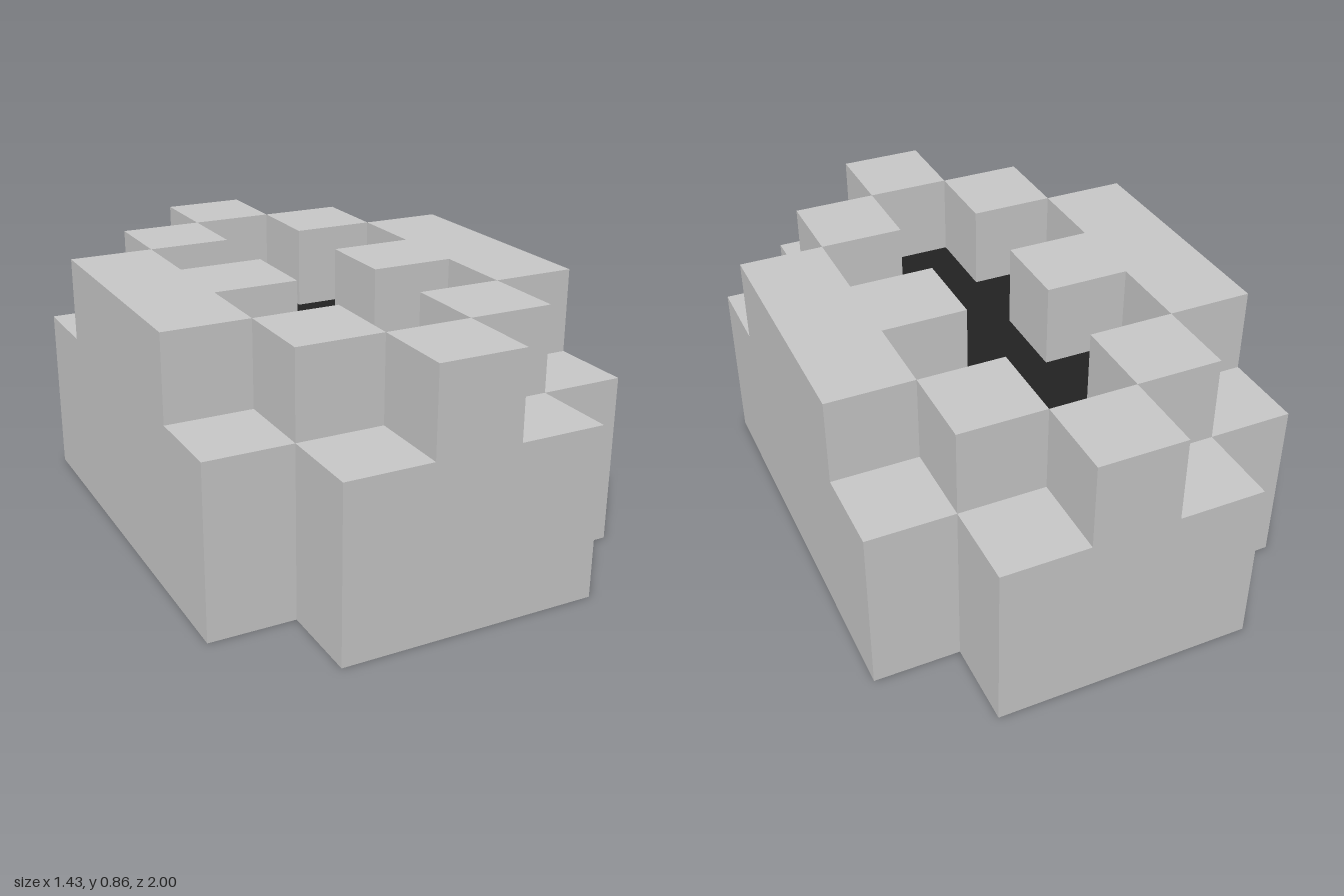
import * as THREE from 'three';

const U = 2 / 7; // edge of one block

// Upright prism from a plan outline given in block units [x, z]
function prism(name, outline, y0, height, material) {
  const shape = new THREE.Shape(outline.map(([x, z]) => new THREE.Vector2(x * U, -z * U)));
  const geometry = new THREE.ExtrudeGeometry(shape, { depth: height, bevelEnabled: false });
  geometry.rotateX(-Math.PI / 2);
  geometry.translate(0, y0, 0);
  const mesh = new THREE.Mesh(geometry, material);
  mesh.name = name;
  return mesh;
}

// Completes a quarter outline (running from the +z side to the +x side) into all four quadrants
function mirrorQuarter(quarter) {
  const half = [...quarter, ...quarter.map(([x, z]) => [x, -z]).reverse()];
  return [...half, ...half.map(([x, z]) => [-x, z]).reverse()];
}

export function createModel() {
  const group = new THREE.Group();
  group.name = 'blockBasin';
  const stone = new THREE.MeshStandardMaterial({ color: 0xc8c8c8 });
  stone.name = 'light grey';
  const dark = new THREE.MeshStandardMaterial({ color: 0x222222 });
  dark.name = 'near black';

  // Solid body, two blocks high, with notched corners
  group.add(prism('body', mirrorQuarter([[1.5, 3.5], [1.5, 2.5], [2.5, 2.5]]), 0, 2 * U, stone));

  // Dark basin floor in the shape of a double cross
  const floor = mirrorQuarter([[0.5, 2.5], [0.5, 1.5], [1.5, 1.5], [1.5, 0.5], [0.5, 0.5]]);
  group.add(prism('basinFloor', floor, 2 * U, 0.003, dark));

  // Rim walls on both sides, each with a block reaching inwards
  for (const s of [1, -1]) {
    const wall = [[2.5, 1.5], [1.5, 1.5], [1.5, 0.5], [0.5, 0.5], [0.5, -0.5], [1.5, -0.5], [1.5, -1.5], [2.5, -1.5]];
    group.add(prism(s > 0 ? 'leftRim' : 'rightRim', wall.map(([x, z]) => [s * x, z]), 2 * U, U, stone));
  }

  // Single rim blocks around the front and back
  const cube = new THREE.BoxGeometry(U, U, U);
  for (const end of [1, -1]) {
    for (const [x, z] of [[0, 3], [1, 2], [-1, 2]]) {
      const block = new THREE.Mesh(cube, stone);
      block.name = end > 0 ? 'frontRimBlock' : 'backRimBlock';
      block.position.set(x * U, 2.5 * U, end * z * U);
      group.add(block);
    }
  }
  return group;
}
